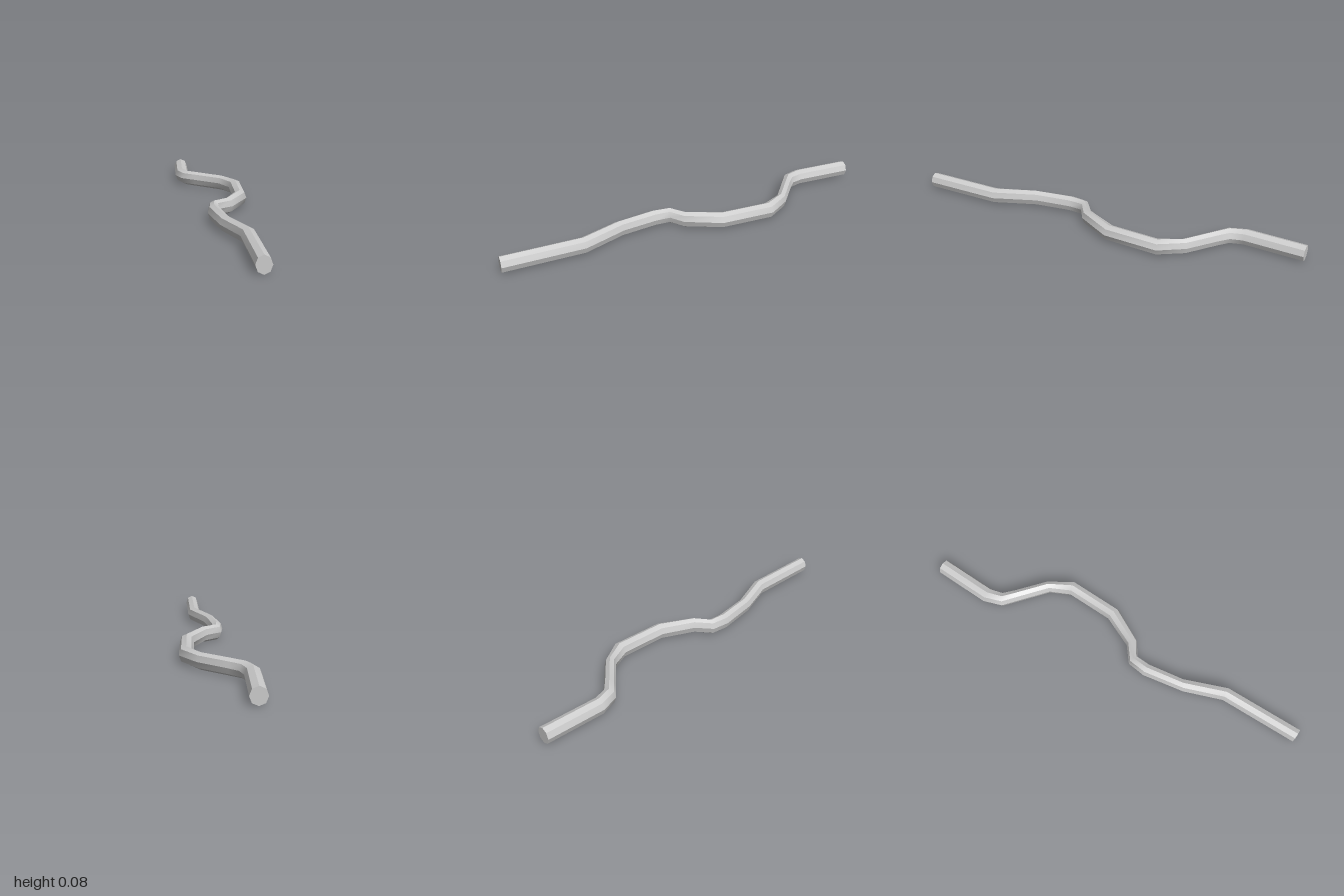
import * as THREE from 'three';

const SIDES = 8;
const RADIUS = 0.041;

// Joints from back to front: [x, z] of the -x rim, then [x, z] of the +x rim
const JOINTS = [
  [-0.181, -1, -0.104, -1],
  [-0.181, -0.705, -0.104, -0.705],
  [-0.146, -0.612, -0.087, -0.645],
  [-0.078, -0.56, -0.04, -0.602],
  [0.06, -0.452, 0.094, -0.494],
  [0.108, -0.352, 0.177, -0.372],
  [0.108, -0.112, 0.177, -0.092],
  [0.04, 0.05, 0.088, 0.082],
  [-0.036, 0.115, 0.019, 0.13],
  [-0.045, 0.208, 0.019, 0.204],
  [-0.003, 0.42, 0.05, 0.384],
  [0.072, 0.608, 0.141, 0.6],
  [0.087, 1, 0.157, 1],
];

// Point on the eight-sided cross-section at a joint
function ringPoint([x0, z0, x1, z1], side) {
  const a = (side / SIDES) * Math.PI * 2;
  const c = Math.cos(a) / 2;
  return [
    (x0 + x1) / 2 + (x1 - x0) * c,
    RADIUS + RADIUS * Math.sin(a),
    (z0 + z1) / 2 + (z1 - z0) * c,
  ];
}

function indexedGeometry(positions, indices) {
  const geometry = new THREE.BufferGeometry();
  geometry.setAttribute('position', new THREE.Float32BufferAttribute(positions, 3));
  geometry.setIndex(indices);
  geometry.computeVertexNormals();
  return geometry;
}

// Each side is its own strip: smooth along the length, sharp between sides
function buildWall() {
  const positions = [];
  const indices = [];
  for (let s = 0; s < SIDES; s++) {
    JOINTS.forEach((joint, i) => {
      const k = positions.length / 3;
      positions.push(...ringPoint(joint, s), ...ringPoint(joint, s + 1));
      if (i < JOINTS.length - 1) indices.push(k, k + 1, k + 2, k + 1, k + 3, k + 2);
    });
  }
  return indexedGeometry(positions, indices);
}

// Flat end cap, facing front or back
function buildCap(joint, front) {
  const positions = [];
  const indices = [];
  for (let s = 0; s < SIDES; s++) positions.push(...ringPoint(joint, s));
  for (let s = 1; s < SIDES - 1; s++) indices.push(0, front ? s : s + 1, front ? s + 1 : s);
  return indexedGeometry(positions, indices);
}

export function createModel() {
  const group = new THREE.Group();
  group.name = 'windingPipe';
  const material = new THREE.MeshStandardMaterial({ color: 0xcccccc });
  const add = (name, geometry) => {
    const mesh = new THREE.Mesh(geometry, material);
    mesh.name = name;
    group.add(mesh);
  };
  add('pipeWall', buildWall());
  add('backCap', buildCap(JOINTS[0], false));
  add('frontCap', buildCap(JOINTS[JOINTS.length - 1], true));
  return group;
}
